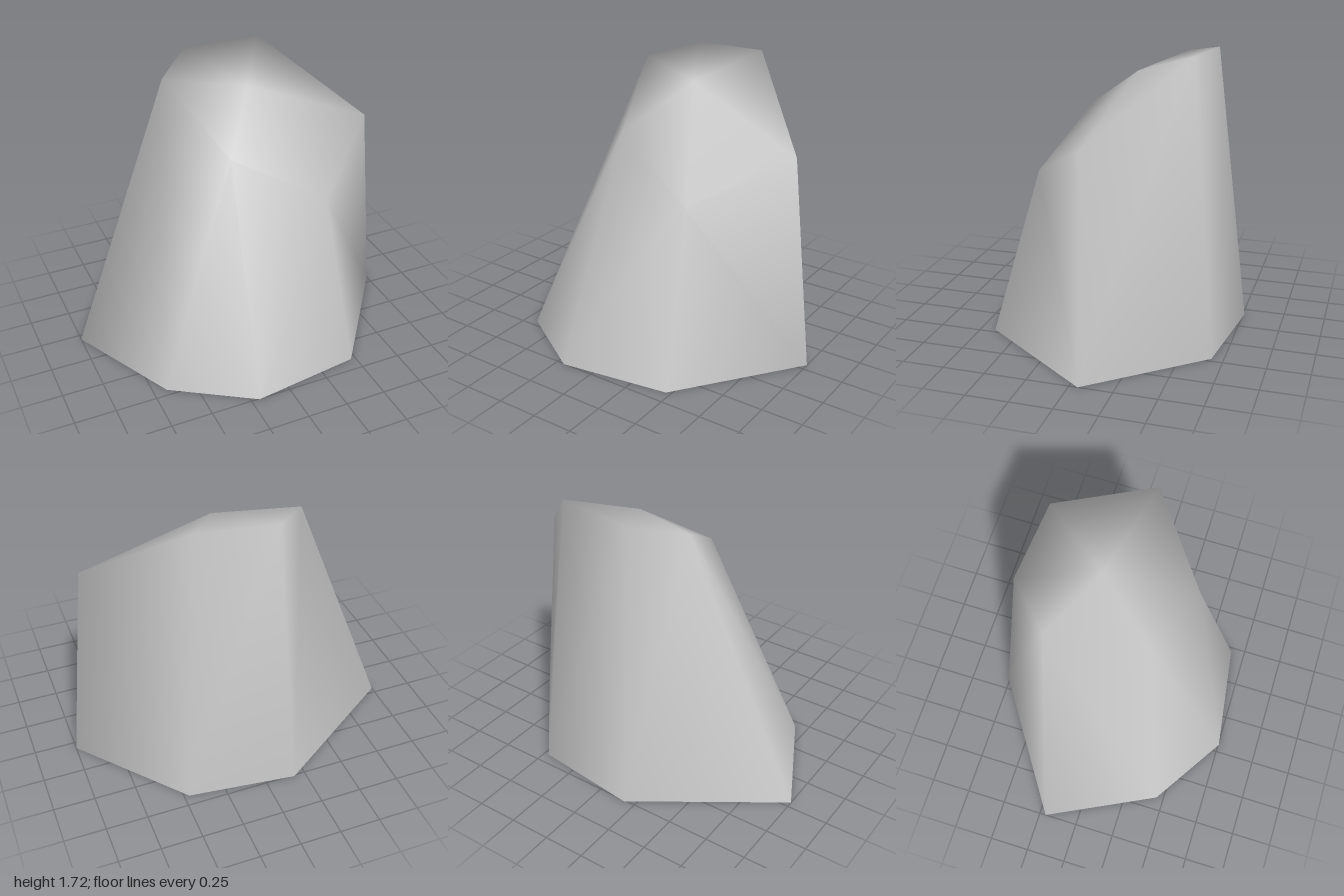
import * as THREE from 'three';

export function createModel() {
  const model = new THREE.Group();
  model.name = 'rock';
  const stone = new THREE.MeshStandardMaterial({ color: 0xc8c8c8, side: THREE.DoubleSide });
  stone.name = 'grey stone';

  // seven-sided footprint, clockwise from above; the underside stays open
  const foot = [
    [-1, 0, -0.21], [-0.18, 0, -0.76], [0.47, 0, -0.68], [1, 0, -0.05],
    [0.47, 0, 0.66], [-0.2, 0, 0.755], [-0.67, 0, 0.455],
  ];
  // sloping shoulder, high at the back and low at the front, and the crown
  const shoulder = [
    [-0.34, 1.63, -0.33], [-0.11, 1.7, -0.565], [0.36, 1.72, -0.52],
    [0.87, 1.29, -0.03], [0.4, 1.02, 0.375], [-0.14, 1.32, 0.215],
  ];
  const crown = [0.12, 1.58, -0.14];

  const n = foot.length, m = shoulder.length, top = n + m;
  const faces = [];

  // walls: each side is split along one of its diagonals
  for (let i = 0; i < n; i++) {
    const p = i, q = (i + 1) % n;
    const pTop = n + Math.min(i, m - 1);         // the last two corners share
    const qTop = i === n - 1 ? n : n + Math.min(i + 1, m - 1); // one shoulder point
    if (pTop === qTop) faces.push(q, p, pTop);
    else if (i === 3 || i === n - 1) faces.push(q, p, qTop, p, pTop, qTop);
    else faces.push(q, p, pTop, q, pTop, qTop);
  }
  // roof: a fan around the crown
  for (let i = 0; i < m; i++) faces.push(top, n + ((i + 1) % m), n + i);

  // shared corners let the shading run smoothly over the facets
  const shell = new THREE.BufferGeometry();
  shell.setAttribute('position',
    new THREE.Float32BufferAttribute([...foot, ...shoulder, crown].flat(), 3));
  shell.setIndex(faces);
  shell.computeVertexNormals();

  const mesh = new THREE.Mesh(shell, stone);
  mesh.name = 'rockShell';
  model.add(mesh);
  return model;
}
